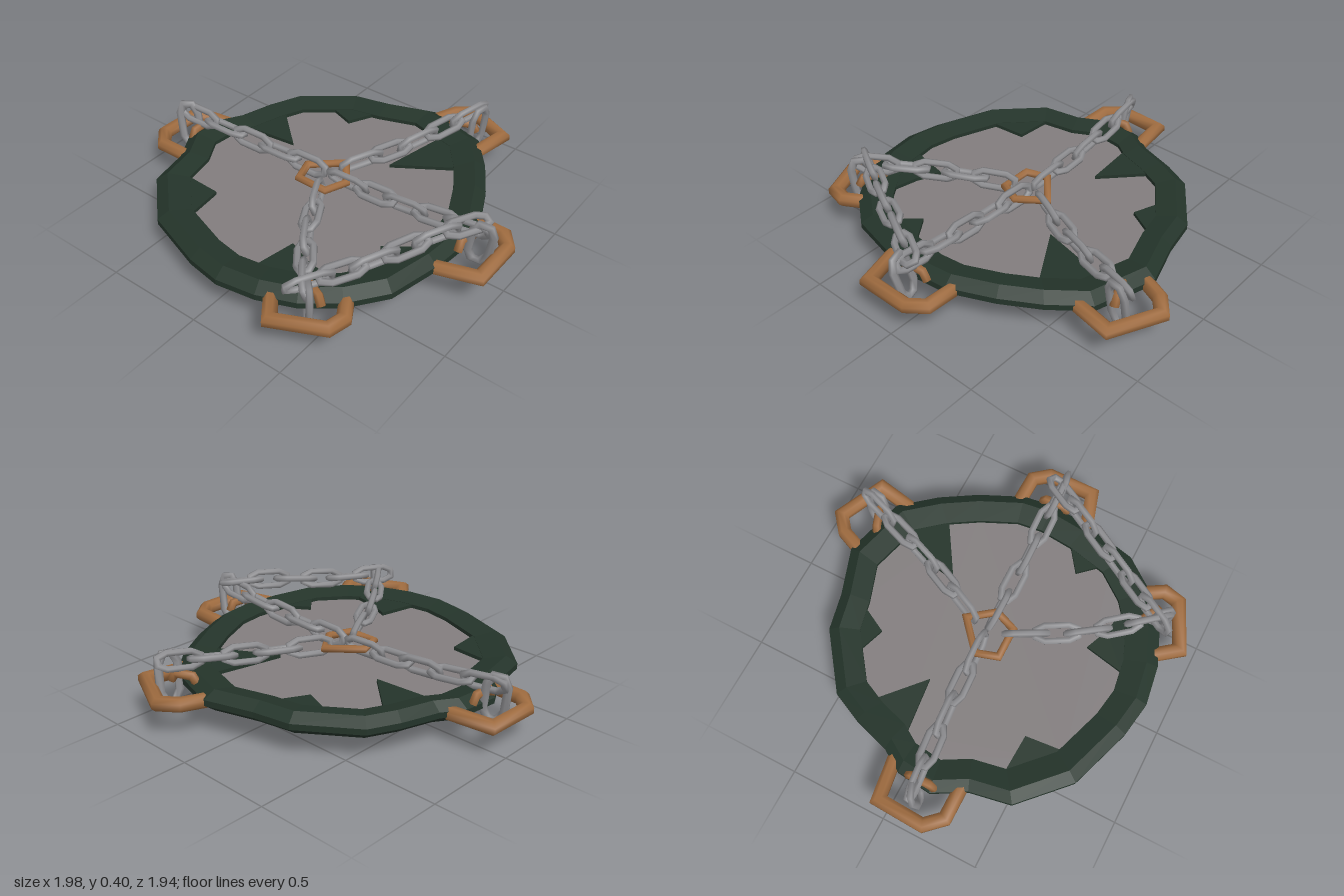
import * as THREE from 'three';

const mat = (name, color) => Object.assign(new THREE.MeshStandardMaterial({ color }), { name });
const V = (x, y, z) => new THREE.Vector3(x, y, z);

// Join a loop of equal cross-sections into a surface
function skin(rings, closed, flat) {
  const k = rings[0].length, n = rings.length, idx = [];
  for (let i = 0; i < (closed ? n : n - 1); i++) {
    for (let j = 0; j < k; j++) {
      const a = i * k + j, d = i * k + (j + 1) % k;
      const b = ((i + 1) % n) * k + j, c = ((i + 1) % n) * k + (j + 1) % k;
      idx.push(a, b, c, a, c, d);
    }
  }
  if (!closed) {
    for (let j = 1; j < k - 1; j++) {
      const e = (n - 1) * k;
      idx.push(0, j, j + 1, e, e + j + 1, e + j);
    }
  }
  let g = new THREE.BufferGeometry().setFromPoints(rings.flat());
  g.setIndex(idx);
  if (flat) g = g.toNonIndexed();
  g.computeVertexNormals();
  return g;
}

// Bar swept along a flat path with mitred corners; normal is the path's plane normal
function bar(pts, normal, r, sides, closed) {
  const n = pts.length;
  const rings = pts.map((p, i) => {
    const prev = closed || i > 0 ? pts[(i + n - 1) % n] : null;
    const next = closed || i < n - 1 ? pts[(i + 1) % n] : null;
    const t1 = (prev ? p.clone().sub(prev) : next.clone().sub(p)).normalize();
    const t2 = (next ? next.clone().sub(p) : t1.clone()).normalize();
    const t = t1.clone().add(t2).normalize();
    const side = t.clone().cross(normal).multiplyScalar(1 / Math.max(0.6, t.dot(t1)));
    return Array.from({ length: sides }, (_, j) => {
      const a = (j + 0.5) / sides * Math.PI * 2;
      return p.clone().addScaledVector(side, Math.cos(a) * r).addScaledVector(normal, Math.sin(a) * r);
    });
  });
  return skin(rings, closed, false);
}

// Flat slab from an outline in x,z
function slab(outline, top, depth) {
  const shape = new THREE.Shape(outline.map(([x, z]) => new THREE.Vector2(x, z)));
  return new THREE.ExtrudeGeometry(shape, { depth, bevelEnabled: false })
    .rotateX(Math.PI / 2).translate(0, top, 0);
}

export function createModel() {
  const green = mat('dark green rim', 0x24342a);
  const grey = mat('grey plate', 0x827d7e);
  const steel = mat('chain steel', 0x8d8d90);
  const copper = mat('copper', 0x9e6b3f);

  const root = new THREE.Group();
  root.name = 'chainedShield';
  const body = new THREE.Group();
  body.name = 'shieldBody';
  body.rotation.z = 0.018;
  root.add(body);
  const add = (parent, geo, m, name) => {
    const mesh = new THREE.Mesh(geo, m);
    mesh.name = name;
    parent.add(mesh);
    return mesh;
  };

  // Uneven rim
  const outline = [[0.05, 0.89], [-0.13, 0.86], [-0.45, 0.75], [-0.68, 0.53], [-0.72, 0.32], [-0.81, 0.16],
    [-0.79, -0.02], [-0.72, -0.13], [-0.66, -0.32], [-0.59, -0.47], [-0.32, -0.67], [-0.13, -0.71],
    [0.11, -0.79], [0.43, -0.7], [0.57, -0.53], [0.68, -0.35], [0.78, -0.13], [0.8, 0.03],
    [0.78, 0.24], [0.72, 0.5], [0.59, 0.67], [0.43, 0.79], [0.25, 0.86]];
  const scaled = (s) => outline.map(([x, z]) => [x * s, 0.04 + (z - 0.04) * s]);
  const profile = [[0.8, 0.21], [0.93, 0.232], [1, 0.195], [1, 0.165], [0.93, 0.122], [0.8, 0.135]];
  const rows = profile.map(([s]) => scaled(s));
  add(body, skin(outline.map((_, i) => profile.map(([, y], j) => V(rows[j][i][0], y, rows[j][i][1]))), true, true), green, 'rim');

  // Plate
  add(body, slab(scaled(0.86), 0.19, 0.04), grey, 'plate');

  // Jagged teeth reaching in from the rim
  [
    [[-0.13, -0.58], [-0.21, -0.43], [-0.38, -0.49], [-0.3, -0.62]],
    [[-0.54, -0.3], [-0.32, -0.1], [-0.62, -0.07], [-0.66, -0.2]],
    [[-0.56, 0.43], [-0.36, 0.44], [-0.34, 0.65], [-0.5, 0.64]],
    [[0.14, 0.71], [0.18, 0.51], [0.3, 0.56], [0.51, 0.6], [0.4, 0.72]],
    [[0.62, 0.41], [0.51, 0.29], [0.65, 0.19], [0.7, 0.3]],
    [[0.48, -0.42], [0.19, -0.24], [0.27, -0.6], [0.42, -0.6]],
  ].forEach((t) => add(body, slab(t, 0.208, 0.07), green, 'rimTooth'));

  // Copper brackets around the edge
  const up = V(0, 1, 0);
  const flatBar = (pts, y, r, closed) => bar(pts.map(([x, z]) => V(x, y, z)), up, r, 8, closed);
  const brackets = {
    leftBracket: [[0.74, -0.15], [0.9, -0.145], [0.96, -0.07], [0.96, 0.17], [0.76, 0.23]],
    rightBracket: [[-0.72, -0.07], [-0.945, -0.04], [-0.955, 0.2], [-0.88, 0.28], [-0.7, 0.28]],
    backBracket: [[0.12, -0.73], [0.18, -0.87], [0.26, -0.935], [0.495, -0.825], [0.455, -0.62]],
    frontBracket: [[0.27, 0.77], [0.385, 0.92], [0.615, 0.815], [0.635, 0.73], [0.57, 0.62]],
  };
  for (const [name, pts] of Object.entries(brackets)) add(body, flatBar(pts, 0.175, 0.036, false), copper, name);

  // Small staples beneath the chain ends
  [[0.8, 0.03, 1.57], [-0.78, 0.1, 1.57], [0.31, -0.74, 0.35], [0.46, 0.71, -0.45]].forEach(([x, z, a]) => {
    const staple = add(body, bar([V(-0.07, 0, 0), V(-0.045, 0.04, 0), V(0.045, 0.04, 0), V(0.07, 0, 0)],
      V(0, 0, 1), 0.022, 6, false), copper, 'staple');
    staple.position.set(x, 0.195, z);
    staple.rotation.y = a;
  });

  // Grips on the underside
  for (const x of [-0.2, 0.2]) {
    const path = [[0.15, 0.265], [0.085, 0.265], [0.062, 0.17], [0.045, 0.03], [0.075, -0.15], [0.15, -0.165]];
    add(root, bar(path.map(([y, z]) => V(x, y, z)), V(1, 0, 0), 0.042, 8, false), copper, 'grip');
  }

  // Centre ring
  add(root, flatBar([[0.03, -0.085], [0.125, 0.04], [0.08, 0.15], [-0.08, 0.15], [-0.115, 0.04]], 0.242, 0.019, true),
    copper, 'centreRing');

  // Chain links
  const linkPath = [[0.105, 0.018], [0.06, 0.038], [-0.06, 0.038], [-0.105, 0.018],
    [-0.105, -0.018], [-0.06, -0.038], [0.06, -0.038], [0.105, -0.018]];
  const linkGeo = bar(linkPath.map(([x, y]) => V(x, y, 0)), V(0, 0, 1), 0.017, 6, true);
  const link = (parent, pos, dir, roll) => {
    const x = dir.clone().normalize();
    const ref = Math.abs(x.y) > 0.8 ? V(pos.x, 0, pos.z) : up;
    const z = x.clone().cross(ref).normalize();
    const m = add(parent, linkGeo, steel, 'link');
    m.quaternion.setFromRotationMatrix(new THREE.Matrix4().makeBasis(x, z.clone().cross(x), z));
    m.rotateX(roll);
    m.position.copy(pos);
    return m;
  };
  const chain = (name, pts) => {
    const g = new THREE.Group();
    g.name = name;
    root.add(g);
    const curve = new THREE.CatmullRomCurve3(pts.map((p) => V(...p)));
    const n = Math.round(curve.getLength() / 0.16);
    for (let i = 0; i < n; i++) {
      const t = (i + 0.5) / n;
      link(g, curve.getPointAt(t), curve.getTangentAt(t), (i % 2) * Math.PI / 2 + 0.3);
    }
  };
  chain('rightChain', [[-0.03, 0.25, 0.04], [-0.45, 0.255, 0.06], [-0.88, 0.285, 0.1]]);
  chain('backChain', [[0.05, 0.25, -0.06], [0.2, 0.265, -0.38], [0.36, 0.315, -0.82]]);
  chain('frontChain', [[0.05, 0.25, 0.15], [0.22, 0.265, 0.46], [0.46, 0.295, 0.78]]);
  chain('leftChain', [[0.05, 0.25, 0.04], [0.45, 0.27, 0.04], [0.88, 0.32, 0.03]]);
  chain('crossChain', [[0.41, 0.3, 0.8], [0.58, 0.31, 0.5], [0.74, 0.345, 0.2], [0.85, 0.35, 0.0]]);

  // Long end links hooked over the rim inside the brackets
  [[-0.85, 0.21, 0.11, -0.04], [0.37, 0.22, -0.78, 0.03], [0.47, 0.2, 0.77, 0.02], [0.87, 0.25, 0.03, 0.05]]
    .forEach(([x, y, z, lean]) => {
      const m = link(root, V(x, y, z), V(lean, 0.26, lean / 2), 0.25);
      m.scale.set(1.12, 1.3, 1);
      m.name = 'endLink';
    });
  return root;
}
